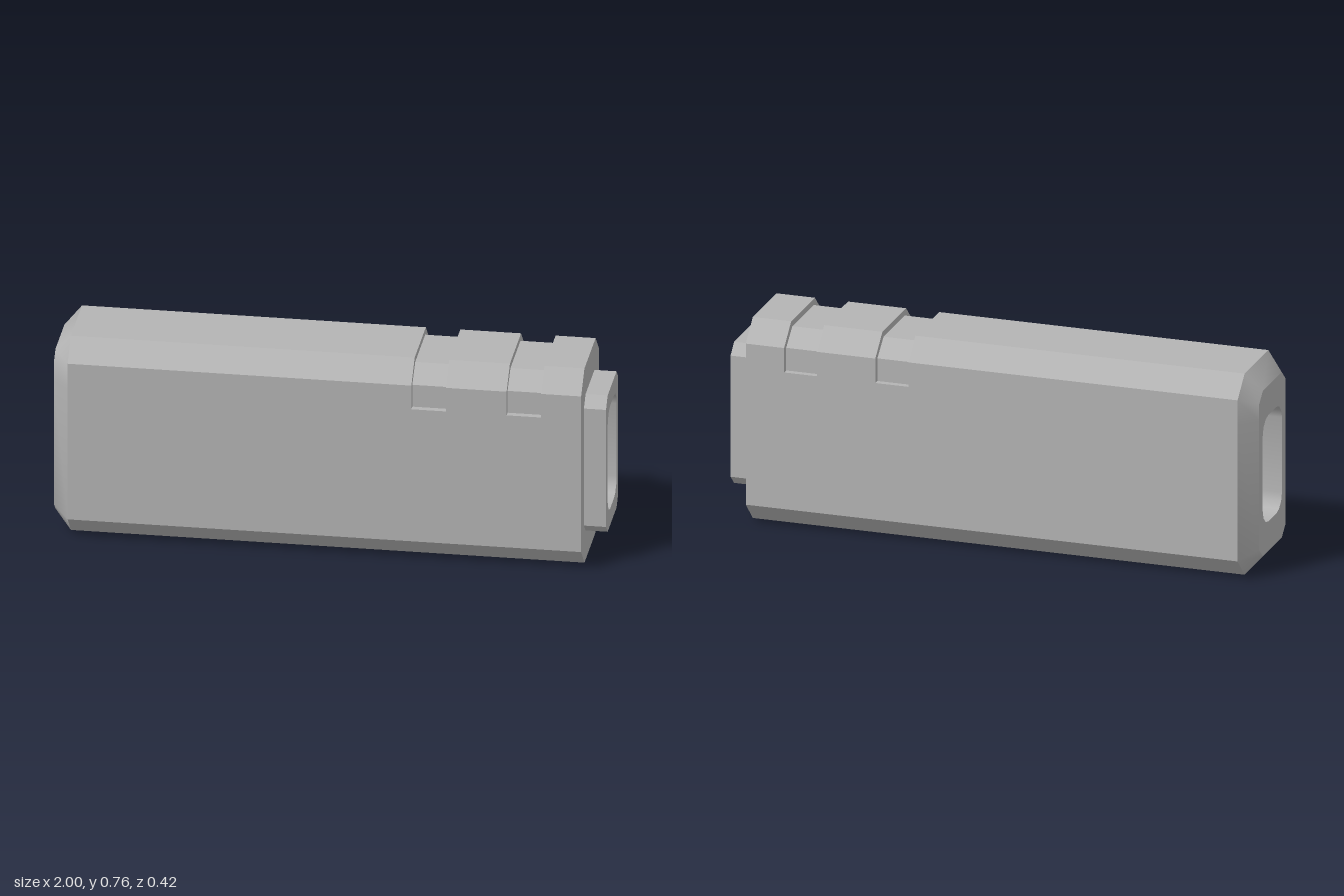
import * as THREE from 'three';
import { mergeGeometries, toCreasedNormals } from 'three/addons/utils/BufferGeometryUtils.js';

const MID = 0.3825; // height of the long axis

// Cross-section with mirrored halves: takes the right half from bottom to top
function mirrored(half) {
  return [...half, ...half.slice().reverse().map(([u, v]) => [-u, v])];
}

// Chamfered rectangle; the two points at notchY allow the sides to step in by notch
function section(halfWidth, flat, bottom, low, high, top, notch = 0, notchY = 0.597) {
  return mirrored([
    [flat, bottom], [halfWidth, low],
    [halfWidth, notchY], [halfWidth - notch, notchY],
    [halfWidth - notch, high], [flat - notch * 0.6, top],
  ]);
}

// Skin between successive sections [x, ring] along the x axis
function loft(stations) {
  const pos = [];
  const point = (x, [u, v]) => new THREE.Vector3(x, v, -u);
  const triangle = (a, b, c) => {
    if (new THREE.Triangle(a, b, c).getArea() < 1e-8) return;
    for (const p of [a, b, c]) pos.push(p.x, p.y, p.z);
  };
  for (let s = 0; s + 1 < stations.length; s++) {
    const [x0, r0] = stations[s], [x1, r1] = stations[s + 1];
    for (let i = 0; i < r0.length; i++) {
      const j = (i + 1) % r0.length;
      const a = point(x0, r0[i]), b = point(x0, r0[j]);
      const c = point(x1, r1[j]), d = point(x1, r1[i]);
      triangle(a, b, c);
      triangle(a, c, d);
    }
  }
  const g = new THREE.BufferGeometry();
  g.setAttribute('position', new THREE.Float32BufferAttribute(pos, 3));
  return g;
}

// Flat ring closing an end, facing +x or -x
function cap(outer, hole, x, side) {
  const unique = (r) => r.filter((p, i) => {
    const q = r[(i + 1) % r.length];
    return Math.hypot(p[0] - q[0], p[1] - q[1]) > 1e-6;
  }).map(([u, v]) => new THREE.Vector2(u, v));
  const shape = new THREE.Shape(unique(outer));
  shape.holes.push(new THREE.Path(unique(hole)));
  const g = new THREE.ShapeGeometry(shape).toNonIndexed();
  g.deleteAttribute('uv');
  g.deleteAttribute('normal');
  return g.rotateY(side * Math.PI / 2).translate(x, 0, 0);
}

export function createModel() {
  const group = new THREE.Group();
  const grey = new THREE.MeshStandardMaterial({ color: 0xb4b4b4 });
  const add = (name, ...parts) => {
    const mesh = new THREE.Mesh(toCreasedNormals(mergeGeometries(parts), 0.61), grey);
    mesh.name = name;
    group.add(mesh);
  };

  const full = section(0.21, 0.132, 0, 0.077, 0.69, 0.765);
  const grooved = section(0.21, 0.132, 0, 0.077, 0.683, 0.742, 0.023);
  const bevelled = section(0.146, 0.105, 0.068, 0.105, 0.66, 0.697);
  const collar = section(0.145, 0.105, 0.115, 0.152, 0.613, 0.652);

  // Rounded opening running the whole length
  const corner = [[0.107, 0.1425], [0.098, 0.1725], [0.075, 0.195], [0.045, 0.2025]];
  const opening = mirrored([
    ...corner.slice().reverse().map(([u, v]) => [u, MID - v]),
    ...corner.map(([u, v]) => [u, MID + v]),
  ]);

  // Body: bevelled end, then the chamfered block with two grooves across the top
  const stations = [[-1, bevelled], [-0.94, full]];
  for (const [start, end] of [[0.305, 0.43], [0.65, 0.775]]) {
    stations.push([start, full], [start, grooved], [end, grooved], [end, full]);
  }
  stations.push([0.92, full]);
  add('body', loft(stations), cap(bevelled, opening, -1, -1), cap(full, collar, 0.92, 1));

  // Raised collar on the other end
  add('collar', loft([[0.92, collar], [1, collar]]), cap(collar, opening, 1, 1));

  // Inner wall of the opening
  add('bore', loft([[1, opening], [-1, opening]]));

  return group;
}
